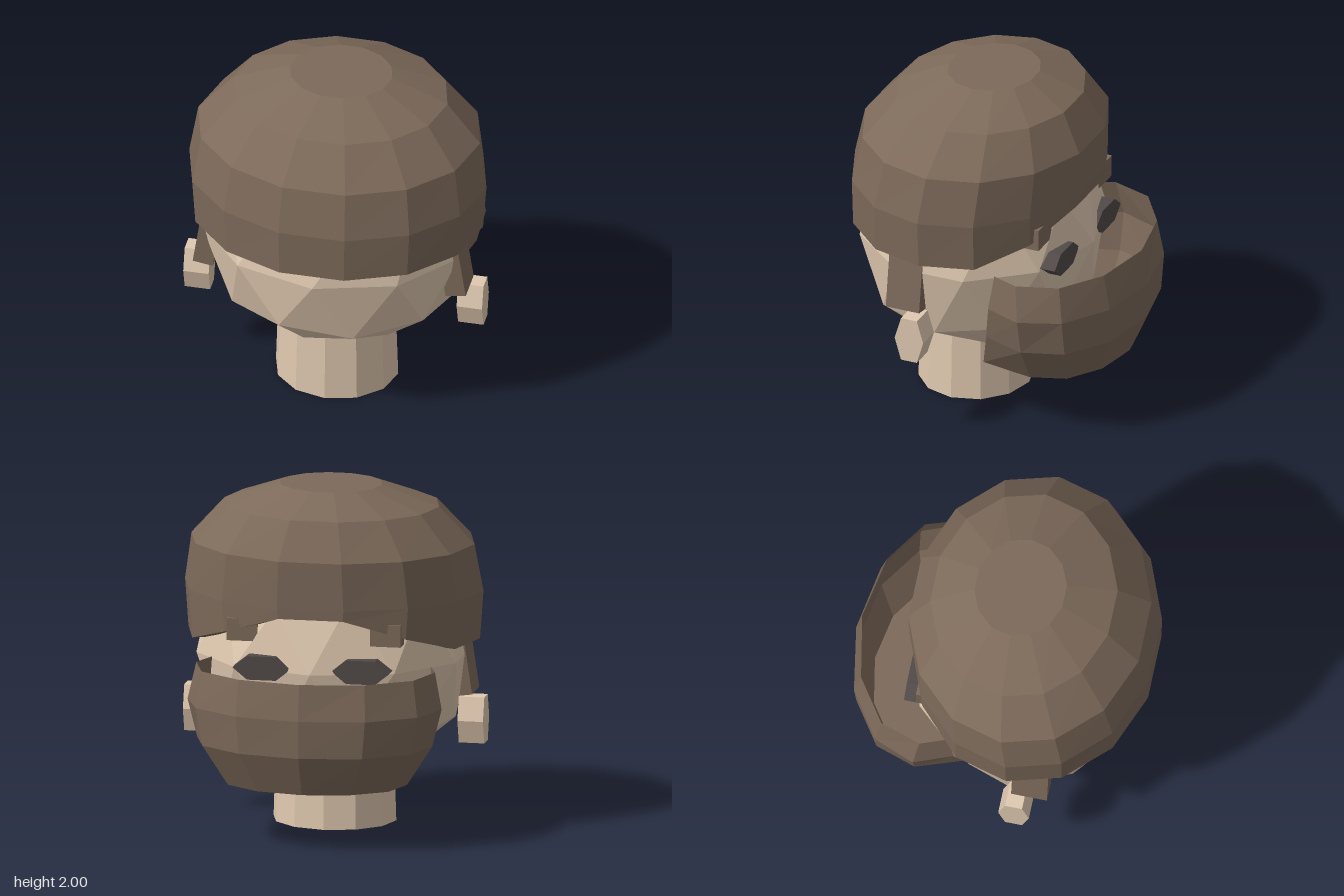
import * as THREE from 'three';

const material = (color) => new THREE.MeshStandardMaterial({ color, flatShading: true, side: THREE.DoubleSide });

// Surface through rows of [x, y, z] points; optional flat caps on first / last row
function loft(rows, { closed = false, capStart = false, capEnd = false } = {}) {
  const n = rows[0].length, index = [];
  for (let r = 0; r < rows.length - 1; r++) {
    for (let i = 0; i < (closed ? n : n - 1); i++) {
      const a = r * n + i, b = r * n + (i + 1) % n;
      index.push(a, a + n, b, b, a + n, b + n);
    }
  }
  const last = (rows.length - 1) * n;
  for (let i = 1; i < n - 1; i++) {
    if (capStart) index.push(0, i, i + 1);
    if (capEnd) index.push(last, last + i + 1, last + i);
  }
  const geo = new THREE.BufferGeometry();
  geo.setAttribute('position', new THREE.Float32BufferAttribute(rows.flat(2), 3));
  geo.setIndex(index);
  const flat = geo.toNonIndexed();
  flat.computeVertexNormals();
  return flat;
}

export function createModel() {
  const group = new THREE.Group();
  const skin = material(0xe0c9b0), hairColor = material(0x7d6a5a), dark = material(0x514a48);
  const add = (name, geo, mat, x = 0, y = 0, z = 0) => {
    const mesh = new THREE.Mesh(geo, mat);
    mesh.name = name;
    mesh.position.set(x, y, z);
    group.add(mesh);
    return mesh;
  };

  // Neck: open tube
  const neck = new THREE.CylinderGeometry(0.345, 0.36, 0.47, 12, 1, true);
  neck.scale(1, 1, 0.92);
  add('neck', neck, skin, 0, 0.235, 0.2);

  // Head: icosphere standing on a vertex, with a fuller jaw
  const head = new THREE.IcosahedronGeometry(1, 1);
  head.rotateX(-Math.atan((1 + Math.sqrt(5)) / 2));
  head.rotateY(Math.PI / 2);
  const p = head.attributes.position;
  for (let i = 0; i < p.count; i++) {
    const y = p.getY(i);
    const h = y < -0.01 ? -0.69 * Math.pow(-y, 0.8) : 0.8 * y;
    p.setXYZ(i, p.getX(i) * 0.8, h, p.getZ(i) * 0.7);
  }
  head.computeVertexNormals();
  add('head', head, skin, 0, 1.0, 0.16);

  // Hair: 14-sided cap whose lower edge rises over the face
  const sides = 14;
  const hairRings = [ // y, x radius, z radius, z centre
    [2.0, 0.3, 0.265, 0.09], [1.88, 0.63, 0.535, 0.11], [1.66, 0.83, 0.693, 0.145],
    [1.38, 0.875, 0.718, 0.18], [1.1, 0.855, 0.715, 0.18], [1.1, 0.72, 0.6, 0.18],
  ];
  const hairRows = hairRings.map(([y, rx, rz, cz], r) => Array.from({ length: sides }, (_, i) => {
    const a = ((i + 0.5) / sides) * Math.PI * 2, c = Math.cos(a);
    const lift = r < 4 ? 0 : c < -0.9 ? 0.22 : c < -0.7 ? 0.1 : 0;
    return [rx * Math.sin(a), y + lift, cz + rz * c];
  }));
  add('hair', loft(hairRows, { closed: true, capStart: true }), hairColor);

  // Beard: open bowl wrapped around the lower face
  const beardRows = [ // y, then half outline from middle to cheek
    [1.01, [[0, -0.84], [0.37, -0.77], [0.62, -0.6], [0.7, -0.36], [0.64, -0.2]]],
    [0.8, [[0, -0.875], [0.38, -0.81], [0.65, -0.63], [0.745, -0.39], [0.66, -0.17]]],
    [0.58, [[0, -0.865], [0.36, -0.8], [0.61, -0.63], [0.69, -0.39], [0.6, -0.13]]],
    [0.345, [[0, -0.765], [0.27, -0.715], [0.47, -0.58], [0.54, -0.38], [0.48, -0.06]]],
  ].map(([y, half]) => [
    ...half.slice(1).reverse().map(([x, z]) => [x, y, z]),
    ...half.map(([x, z]) => [-x, y, z]),
  ]);
  add('beard', loft(beardRows, { capEnd: true }), hairColor);

  for (const s of [1, -1]) {
    const side = s > 0 ? 'left' : 'right';

    // Sideburn: slab leaning outward at its foot
    const burn = add(side + 'Sideburn', new THREE.BoxGeometry(0.12, 0.4, 0.21), hairColor, s * 0.715, 0.95, 0.305);
    burn.rotation.z = s * 0.15;

    // Ear lobe: short hexagonal prism pointing sideways
    const lobe = new THREE.CylinderGeometry(1, 1, 0.15, 6);
    lobe.rotateZ(Math.PI / 2);
    lobe.scale(1, 0.135 / Math.cos(Math.PI / 6), 0.09);
    if (Math.abs(lobe.attributes.position.getY(0)) > 0.15) lobe.scale(1, 0.87, 1);
    add(side + 'EarLobe', new THREE.ExtrudeGeometry(new THREE.Shape([
      [0.05, 0.135], [-0.05, 0.135], [-0.09, 0], [-0.05, -0.135], [0.05, -0.135], [0.09, 0],
    ].map(([x, y]) => new THREE.Vector2(x, y))), { depth: 0.15, bevelEnabled: false })
      .translate(0, 0, -0.075).rotateY(Math.PI / 2), skin, s * 0.805, 0.615, 0.23);

    // Eye: flat wide hexagon
    const eye = new THREE.CylinderGeometry(1, 1, 0.14, 6);
    eye.rotateY(Math.PI / 2);
    eye.rotateX(Math.PI / 2);
    eye.scale(0.17, 0.08, 1);
    add(side + 'Eye', eye, dark, s * 0.29, 1.02, -0.43);

    // Eyebrow
    add(side + 'Eyebrow', new THREE.BoxGeometry(0.18, 0.13, 0.16), hairColor, s * 0.42, 1.225, -0.34);
  }
  return group;
}
